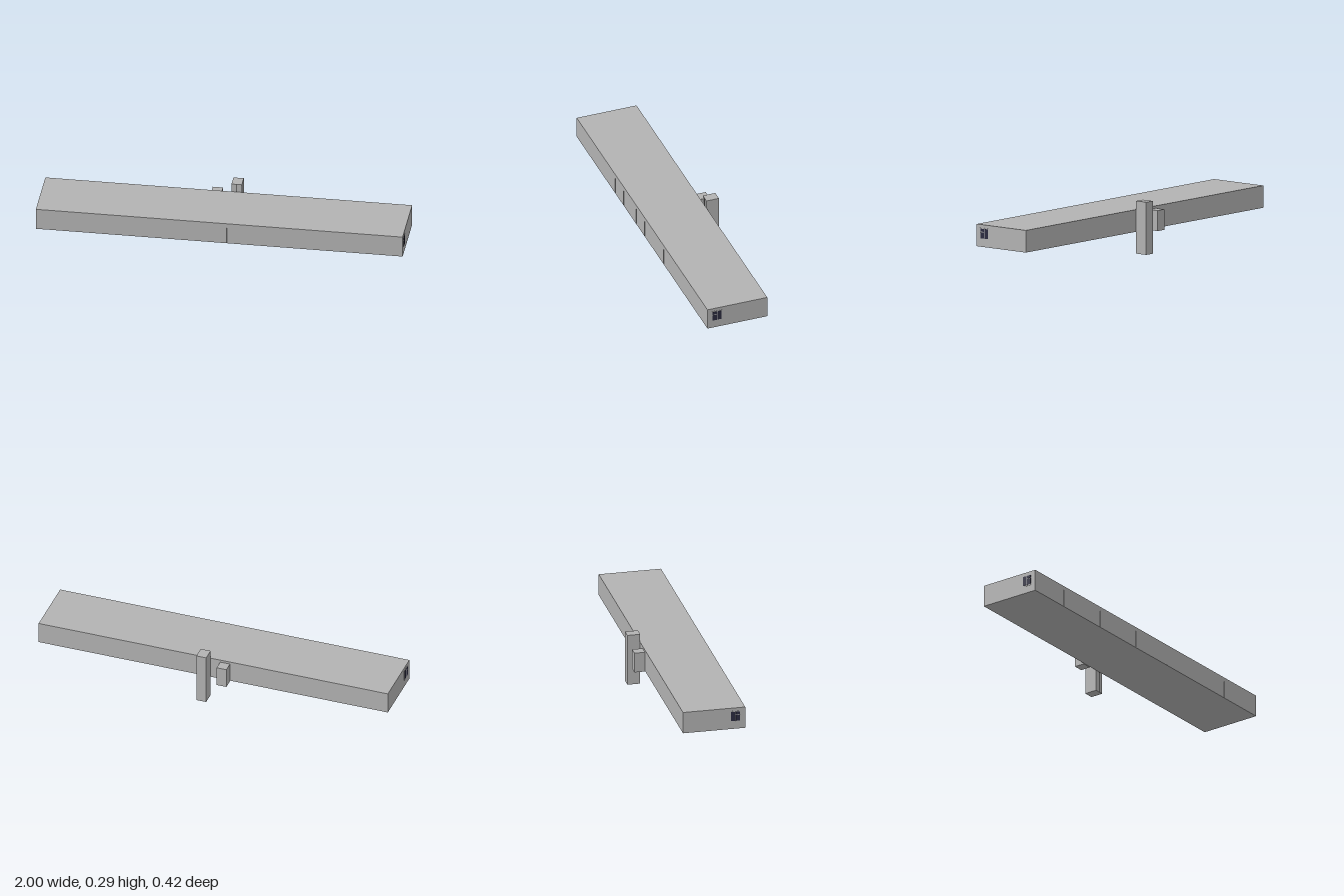
import * as THREE from 'three';

export function createModel() {
  const group = new THREE.Group();
  const material = (name, color) => {
    const m = new THREE.MeshStandardMaterial({ color });
    m.name = name;
    return m;
  };
  const grey = material('concrete grey', 0xb2b2b2);
  const glass = material('dark glass', 0x2b2b40);
  const black = material('slit black', 0x1c1c1c);

  // Box given by its lower and upper corners
  const box = (name, mat, [x0, y0, z0], [x1, y1, z1], parent = group) => {
    const mesh = new THREE.Mesh(new THREE.BoxGeometry(x1 - x0, y1 - y0, z1 - z0), mat);
    mesh.position.set((x0 + x1) / 2, (y0 + y1) / 2, (z0 + z1) / 2);
    mesh.name = name;
    parent.add(mesh);
  };

  // Long main block, with the two shafts behind it
  box('mainBlock', grey, [-0.998, 0.119, -0.137], [0.998, 0.24, 0.207]);
  box('tallShaft', grey, [0.015, 0, -0.208], [0.071, 0.287, -0.137]);
  box('shortShaft', grey, [-0.096, 0.115, -0.195], [-0.04, 0.227, -0.137]);

  // Narrow slit down the front of the tall shaft
  box('shaftSlitTop', black, [0.041, 0.24, -0.138], [0.045, 0.286, -0.136]);
  box('shaftSlitBottom', black, [0.041, 0.001, -0.138], [0.045, 0.119, -0.136]);

  // Fine joints along the front
  for (const x of [-0.91, -0.74, -0.56, -0.41, -0.28, -0.09, 0.04, 0.19, 0.33, 0.47, 0.71, 0.87])
    box('frontJoint', grey, [x - 0.001, 0.121, 0.206], [x + 0.001, 0.215, 0.208]);

  // Framed three-pane window at each end
  const panes = [
    [0.165, 0.154, 0.198, 0.178],
    [0.202, 0.154, 0.218, 0.178],
    [0.165, 0.128, 0.218, 0.151],
  ];
  for (const side of [-1, 1]) {
    const win = new THREE.Group();
    win.name = side > 0 ? 'leftWindow' : 'rightWindow';
    const xs = (a, b) => (side > 0 ? [a, b] : [-b, -a]);
    const [f0, f1] = xs(0.997, 0.9992);
    box('windowFrame', grey, [f0, 0.159, 0.125], [f1, 0.222, 0.182], win);
    const [p0, p1] = xs(0.998, 1);
    for (const [y0, z0, y1, z1] of panes) box('windowPane', glass, [p0, y0, z0], [p1, y1, z1], win);
    group.add(win);
  }
  return group;
}
